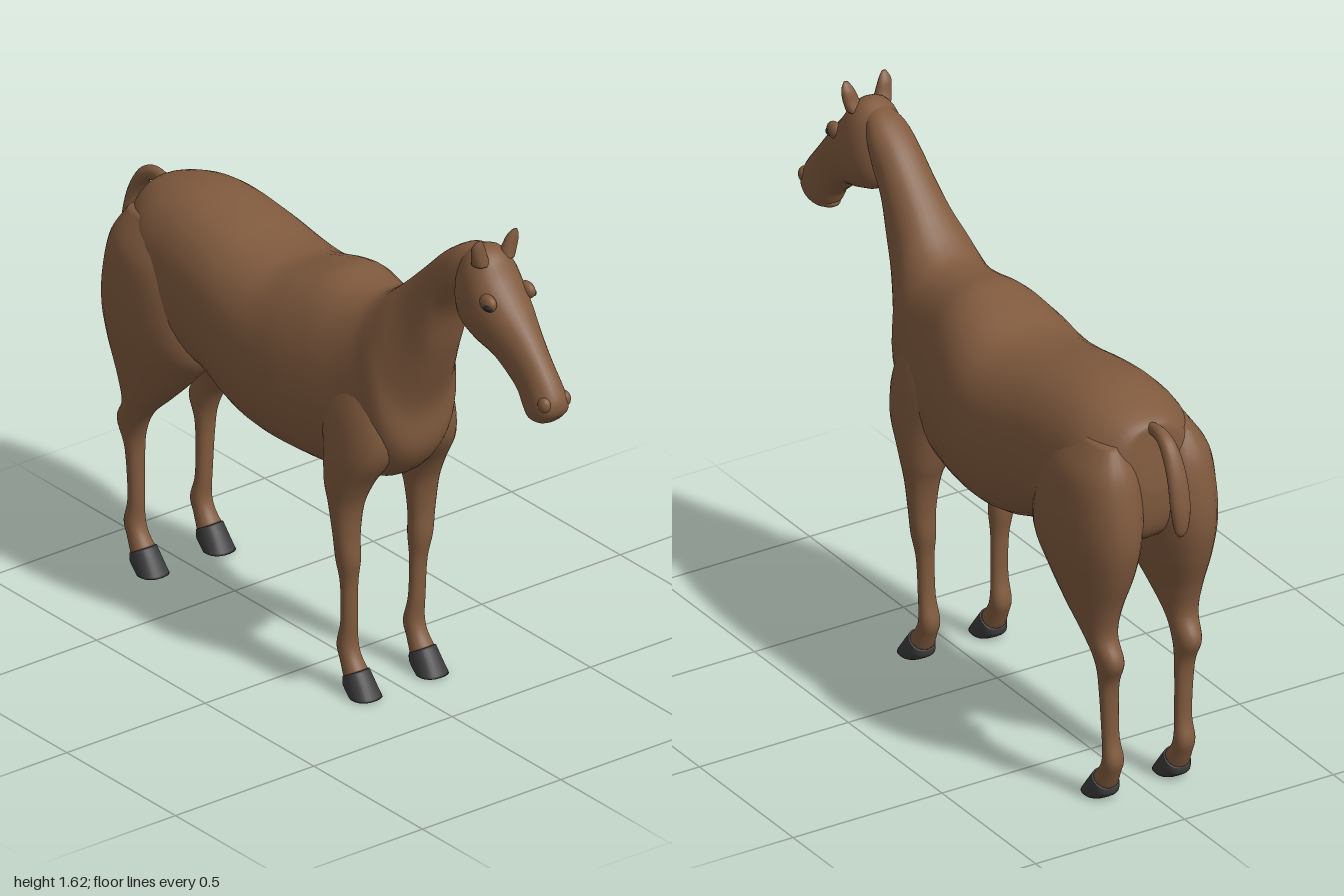
import * as THREE from 'three';

const coat = new THREE.MeshStandardMaterial({ color: 0x805a3e });
coat.name = 'brown coat';
const horn = new THREE.MeshStandardMaterial({ color: 0x3b3b3d });
horn.name = 'dark hoof';
const eyeDark = new THREE.MeshStandardMaterial({ color: 0x2b2b30 });
eyeDark.name = 'dark eye';

const spline = (a, b, c, d, t) =>
  b + 0.5 * t * (c - a + t * (2 * a - 5 * b + 4 * c - d + t * (3 * (b - c) + d - a)));

// Skin through cross-sections [zA, yA, zB, yB, halfWidth, centreX]:
// A and B are the two profile points that each section spans in the side plane.
function loft(name, stations, material, { side = 1, power = 0.92, sides = 28, steps = 5 } = {}) {
  const rows = [];
  const n = stations.length;
  for (let i = 0; i < n - 1; i++) {
    const at = (k) => stations[Math.min(n - 1, Math.max(0, k))];
    for (let s = 0; s < steps + (i === n - 2 ? 1 : 0); s++) {
      rows.push([0, 1, 2, 3, 4, 5].map((j) =>
        spline(at(i - 1)[j] ?? 0, at(i)[j] ?? 0, at(i + 1)[j] ?? 0, at(i + 2)[j] ?? 0, s / steps)));
    }
  }
  const bend = (v) => Math.sign(v) * Math.abs(v) ** power;
  const pos = [];
  const index = [];
  for (const [zA, yA, zB, yB, w, x] of rows) {
    for (let k = 0; k < sides; k++) {
      const a = (k / sides) * Math.PI * 2;
      const c = bend(Math.cos(a)) / 2;
      pos.push(side * (x + w * bend(Math.sin(a))), (yA + yB) / 2 + c * (yA - yB), (zA + zB) / 2 + c * (zA - zB));
    }
  }
  for (let r = 0; r < rows.length - 1; r++) {
    for (let k = 0; k < sides; k++) {
      const p = r * sides + k;
      const q = r * sides + ((k + 1) % sides);
      index.push(p, q, p + sides, q, q + sides, p + sides);
    }
  }
  // End caps
  for (const r of [0, rows.length - 1]) {
    const [zA, yA, zB, yB, , x] = rows[r];
    const centre = pos.length / 3;
    pos.push(side * x, (yA + yB) / 2, (zA + zB) / 2);
    for (let k = 0; k < sides; k++) {
      const p = r * sides + k;
      const q = r * sides + ((k + 1) % sides);
      index.push(centre, ...(r ? [p, q] : [q, p]));
    }
  }
  // Turn faces outward if the enclosed volume comes out negative
  const v = (i) => new THREE.Vector3().fromArray(pos, index[i] * 3);
  let volume = 0;
  for (let i = 0; i < index.length; i += 3) volume += v(i).dot(v(i + 1).cross(v(i + 2)));
  if (volume < 0) index.reverse();
  const g = new THREE.BufferGeometry();
  g.setAttribute('position', new THREE.Float32BufferAttribute(pos, 3));
  g.setIndex(index);
  g.computeVertexNormals();
  const mesh = new THREE.Mesh(g, material);
  mesh.name = name;
  return mesh;
}

// Trunk and neck: back line, belly/throat line, half width
const trunk = [
  [-0.835, 1.17, -0.86, 1.0, 0.05], [-0.82, 1.205, -0.84, 0.86, 0.135], [-0.72, 1.24, -0.75, 0.79, 0.195],
  [-0.6, 1.255, -0.6, 0.73, 0.213], [-0.45, 1.237, -0.45, 0.73, 0.222], [-0.3, 1.207, -0.3, 0.675, 0.236],
  [-0.18, 1.2, -0.18, 0.65, 0.24], [-0.06, 1.235, -0.05, 0.64, 0.226], [0.04, 1.258, 0.08, 0.642, 0.2],
  [0.13, 1.25, 0.2, 0.66, 0.175], [0.2, 1.25, 0.3, 0.705, 0.16], [0.25, 1.272, 0.37, 0.8, 0.15],
  [0.3, 1.31, 0.385, 0.94, 0.13], [0.36, 1.365, 0.435, 1.07, 0.103], [0.43, 1.432, 0.475, 1.17, 0.087],
  [0.5, 1.498, 0.51, 1.28, 0.076], [0.58, 1.55, 0.555, 1.36, 0.07], [0.65, 1.565, 0.6, 1.42, 0.05],
];

// Head: forehead line, jaw line, half width
const head = [
  [0.6, 1.55, 0.57, 1.44, 0.045], [0.66, 1.575, 0.575, 1.365, 0.074], [0.71, 1.555, 0.605, 1.31, 0.089],
  [0.75, 1.5, 0.675, 1.28, 0.09], [0.8, 1.445, 0.75, 1.257, 0.077], [0.86, 1.38, 0.8, 1.217, 0.061],
  [0.92, 1.31, 0.84, 1.18, 0.053], [0.97, 1.25, 0.862, 1.142, 0.054], [0.995, 1.208, 0.89, 1.118, 0.055],
  [0.999, 1.18, 0.935, 1.118, 0.044], [0.993, 1.16, 0.96, 1.127, 0.022],
];

const tail = [
  [-0.81, 1.2, -0.81, 1.165, 0.014], [-0.87, 1.207, -0.86, 1.165, 0.018], [-0.93, 1.18, -0.9, 1.145, 0.025],
  [-0.975, 1.1, -0.94, 1.08, 0.03], [-0.998, 1.0, -0.958, 1.0, 0.031], [-0.996, 0.93, -0.968, 0.93, 0.022],
  [-0.985, 0.905, -0.978, 0.905, 0.008],
];

// Legs: front edge, back edge, half width, centre x
const frontLeg = [
  [0.26, 1.08, 0.12, 1.08, 0.03, 0.1], [0.33, 0.92, 0.07, 0.92, 0.075, 0.105], [0.335, 0.79, 0.09, 0.78, 0.085, 0.11],
  [0.27, 0.68, 0.112, 0.67, 0.067, 0.128], [0.235, 0.6, 0.135, 0.6, 0.052, 0.135], [0.222, 0.5, 0.15, 0.5, 0.041, 0.135],
  [0.222, 0.42, 0.152, 0.42, 0.036, 0.13], [0.208, 0.34, 0.162, 0.34, 0.027, 0.125],
];
const hindLeg = [
  [-0.62, 1.17, -0.82, 1.15, 0.04, 0.12], [-0.53, 1.05, -0.87, 1.07, 0.1, 0.122], [-0.48, 0.92, -0.898, 0.96, 0.116, 0.124],
  [-0.465, 0.79, -0.905, 0.85, 0.112, 0.127], [-0.54, 0.69, -0.88, 0.74, 0.092, 0.13], [-0.635, 0.595, -0.838, 0.63, 0.065, 0.135],
  [-0.715, 0.52, -0.822, 0.54, 0.045, 0.135], [-0.755, 0.45, -0.858, 0.465, 0.037, 0.13],
  [-0.772, 0.37, -0.825, 0.38, 0.03, 0.127],
];
const shank = [
  [0.203, 0.22, 0.16, 0.22, 0.026, 0.122], [0.2, 0.155, 0.142, 0.14, 0.031, 0.12],
  [0.213, 0.115, 0.158, 0.09, 0.031, 0.12], [0.24, 0.08, 0.178, 0.045, 0.036, 0.12],
];
const hoof = [
  [0.243, 0.083, 0.177, 0.045, 0.039, 0.12], [0.27, 0.048, 0.18, 0.022, 0.043, 0.12], [0.299, 0.006, 0.212, 0, 0.046, 0.12],
];
const shift = (list, dz) => list.map(([zA, yA, zB, yB, w, x]) => [zA + dz, yA, zB + dz, yB, w, x]);

const ear = [
  [0.715, 1.535, 0.66, 1.535, 0.026, 0.045], [0.712, 1.57, 0.675, 1.565, 0.025, 0.055],
  [0.712, 1.6, 0.685, 1.597, 0.02, 0.062], [0.71, 1.622, 0.702, 1.62, 0.008, 0.064],
];

function ball(name, material, position, scale) {
  const mesh = new THREE.Mesh(new THREE.SphereGeometry(1, 20, 14), material);
  mesh.name = name;
  mesh.position.set(...position);
  mesh.scale.set(...scale);
  return mesh;
}

export function createModel() {
  const model = new THREE.Group();
  model.name = 'horse';
  model.add(
    loft('trunkAndNeck', trunk, coat, { power: 0.85, sides: 40 }),
    loft('head', head, coat, { power: 0.88 }),
    loft('tail', tail, coat, { sides: 16 }),
  );
  for (const side of [1, -1]) {
    const label = side > 0 ? 'left' : 'right';
    for (const [name, upper, dz] of [['FrontLeg', frontLeg, 0], ['HindLeg', hindLeg, -0.98]]) {
      const leg = new THREE.Group();
      leg.name = label + name;
      leg.add(
        loft('limb', [...upper, ...shift(shank, dz)], coat, { side }),
        loft('hoof', shift(hoof, dz), horn, { side, power: 0.85 }),
      );
      model.add(leg);
    }
    model.add(
      loft(label + 'Ear', ear, coat, { side, sides: 14 }),
      ball(label + 'Brow', coat, [side * 0.07, 1.445, 0.755], [0.019, 0.026, 0.032]),
      ball(label + 'Eye', eyeDark, [side * 0.079, 1.438, 0.765], [0.012, 0.012, 0.018]),
      ball(label + 'Nostril', coat, [side * 0.035, 1.195, 0.97], [0.019, 0.025, 0.022]),
    );
  }
  // Lower lip
  model.add(ball('lowerLip', coat, [0, 1.137, 0.905], [0.036, 0.021, 0.045]));
  return model;
}
